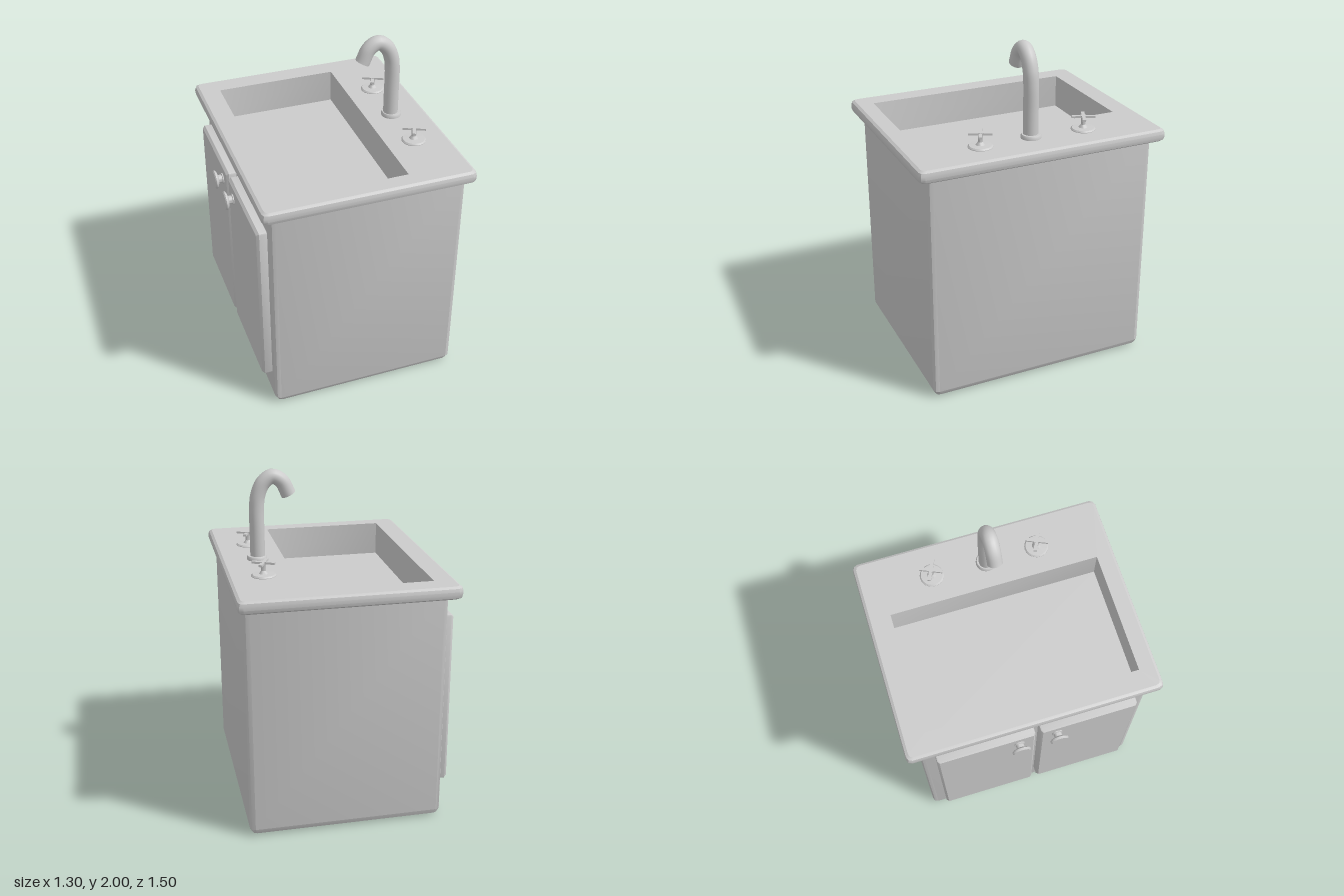
import * as THREE from 'three';
import { toCreasedNormals } from 'three/addons/utils/BufferGeometryUtils.js';

const material = new THREE.MeshStandardMaterial({ color: 0xcccccc });
const doubleSided = new THREE.MeshStandardMaterial({ color: 0xcccccc, side: THREE.DoubleSide });

function addMesh(parent, name, geometry, mat = material) {
  const mesh = new THREE.Mesh(geometry, mat);
  mesh.name = name;
  parent.add(mesh);
  return mesh;
}

// Stacks rectangles with rounded corners: each ring is [x0, x1, z0, z1, y, cornerRadius].
function loftRects(rings, capBottom, capTop) {
  const steps = 2, n = 4 * (steps + 1);
  const positions = [], index = [];
  for (const [x0, x1, z0, z1, y, r] of rings) {
    const corners = [[x1 - r, z1 - r], [x0 + r, z1 - r], [x0 + r, z0 + r], [x1 - r, z0 + r]];
    corners.forEach(([cx, cz], q) => {
      for (let s = 0; s <= steps; s++) {
        const a = (q + s / steps) * Math.PI / 2;
        positions.push(cx + r * Math.cos(a), y, cz + r * Math.sin(a));
      }
    });
  }
  for (let k = 0; k < rings.length - 1; k++) {
    for (let i = 0; i < n; i++) {
      const a = k * n + i, b = k * n + (i + 1) % n;
      index.push(a, a + n, b, b, a + n, b + n);
    }
  }
  const last = (rings.length - 1) * n;
  for (let i = 1; i < n - 1; i++) {
    if (capBottom) index.push(0, i, i + 1);
    if (capTop) index.push(last, last + i + 1, last + i);
  }
  const g = new THREE.BufferGeometry();
  g.setAttribute('position', new THREE.Float32BufferAttribute(positions, 3));
  g.setIndex(index);
  return toCreasedNormals(g, 0.5);
}

function turned(points, segments = 24) {
  const profile = points.map(([r, y]) => new THREE.Vector2(r, y));
  return toCreasedNormals(new THREE.LatheGeometry(profile, segments), 0.6);
}

export function createModel() {
  const model = new THREE.Group();
  model.name = 'sinkCabinet';

  // Cabinet with bevelled lower edges, open under the counter
  addMesh(model, 'cabinet', loftRects([
    [-0.50, 0.565, -0.64, 0.65, 0, 0.02],
    [-0.525, 0.59, -0.668, 0.675, 0.015, 0.025],
    [-0.54, 0.605, -0.68, 0.69, 0.045, 0.03],
    [-0.54, 0.605, -0.68, 0.69, 1.40, 0.03],
  ], true, false));

  // Counter: underside, rounded rim, top surface and sunken basin in one skin
  addMesh(model, 'counterAndBasin', loftRects([
    [-0.52, 0.585, -0.66, 0.67, 1.39, 0.02],
    [-0.58, 0.625, -0.735, 0.73, 1.39, 0.025],
    [-0.595, 0.64, -0.75, 0.745, 1.40, 0.03],
    [-0.60, 0.645, -0.755, 0.75, 1.418, 0.03],
    [-0.60, 0.645, -0.755, 0.75, 1.437, 0.03],
    [-0.595, 0.64, -0.75, 0.745, 1.455, 0.03],
    [-0.58, 0.625, -0.735, 0.73, 1.465, 0.025],
    [-0.465, 0.27, -0.615, 0.64, 1.465, 0.001],
    [-0.465, 0.27, -0.615, 0.64, 1.26, 0.001],
  ], false, true));

  // Pair of doors with round knobs
  const doorGeometry = loftRects([
    [-0.525, 0.525, -0.295, 0.295, -0.01, 0.012],
    [-0.525, 0.525, -0.295, 0.295, 0.045, 0.012],
    [-0.512, 0.512, -0.282, 0.282, 0.06, 0.008],
  ], true, true);
  const knobGeometry = turned([
    [0.032, -0.01], [0.032, 0.006], [0.024, 0.008], [0.024, 0.028], [0.048, 0.036],
    [0.055, 0.042], [0.055, 0.049], [0.048, 0.055], [0, 0.055],
  ]);
  for (const side of [-1, 1]) {
    const door = addMesh(model, 'door', doorGeometry);
    door.rotation.z = Math.PI / 2;
    door.position.set(-0.54, 0.725, 0.01 + side * 0.31);
    const knob = addMesh(model, 'doorKnob', knobGeometry);
    knob.rotation.z = Math.PI / 2;
    knob.position.set(-0.60, 1.16, 0.01 + side * 0.115);
  }

  // Faucet: collar and curved spout
  const faucet = new THREE.Group();
  faucet.name = 'faucet';
  faucet.position.z = 0.007;
  model.add(faucet);
  addMesh(faucet, 'faucetCollar', turned([
    [0.06, 1.46], [0.06, 1.478], [0.054, 1.488], [0, 1.488],
  ])).position.x = 0.43;
  const spoutPath = new THREE.CatmullRomCurve3([
    [0.425, 1.46], [0.425, 1.62], [0.425, 1.77], [0.415, 1.85], [0.383, 1.92],
    [0.33, 1.955], [0.275, 1.925], [0.235, 1.845],
  ].map(([x, y]) => new THREE.Vector3(x, y, 0)));
  addMesh(faucet, 'spout', new THREE.TubeGeometry(spoutPath, 48, 0.044, 20), doubleSided);
  // Closed end inside the spout mouth
  const mouth = addMesh(faucet, 'spoutMouth', new THREE.CircleGeometry(0.044, 20), doubleSided);
  mouth.position.set(0.235, 1.845, 0);
  mouth.quaternion.setFromUnitVectors(new THREE.Vector3(0, 0, 1), spoutPath.getTangent(1));

  // Two taps with cross handles
  const tapBase = turned([
    [0.071, 1.46], [0.071, 1.468], [0.064, 1.476], [0.026, 1.478], [0.014, 1.495],
    [0.014, 1.535], [0.018, 1.548], [0, 1.548],
  ]);
  const barGeometry = new THREE.BoxGeometry(0.134, 0.012, 0.02);
  for (const side of [-1, 1]) {
    const tap = new THREE.Group();
    tap.name = 'tap';
    tap.position.set(0.44, 0, side * 0.32);
    model.add(tap);
    addMesh(tap, 'tapStem', tapBase);
    for (const quarter of [0, 1]) {
      const bar = addMesh(tap, 'tapHandleBar', barGeometry);
      bar.position.y = 1.54;
      bar.rotation.y = -0.42 + quarter * Math.PI / 2;
    }
  }
  return model;
}
